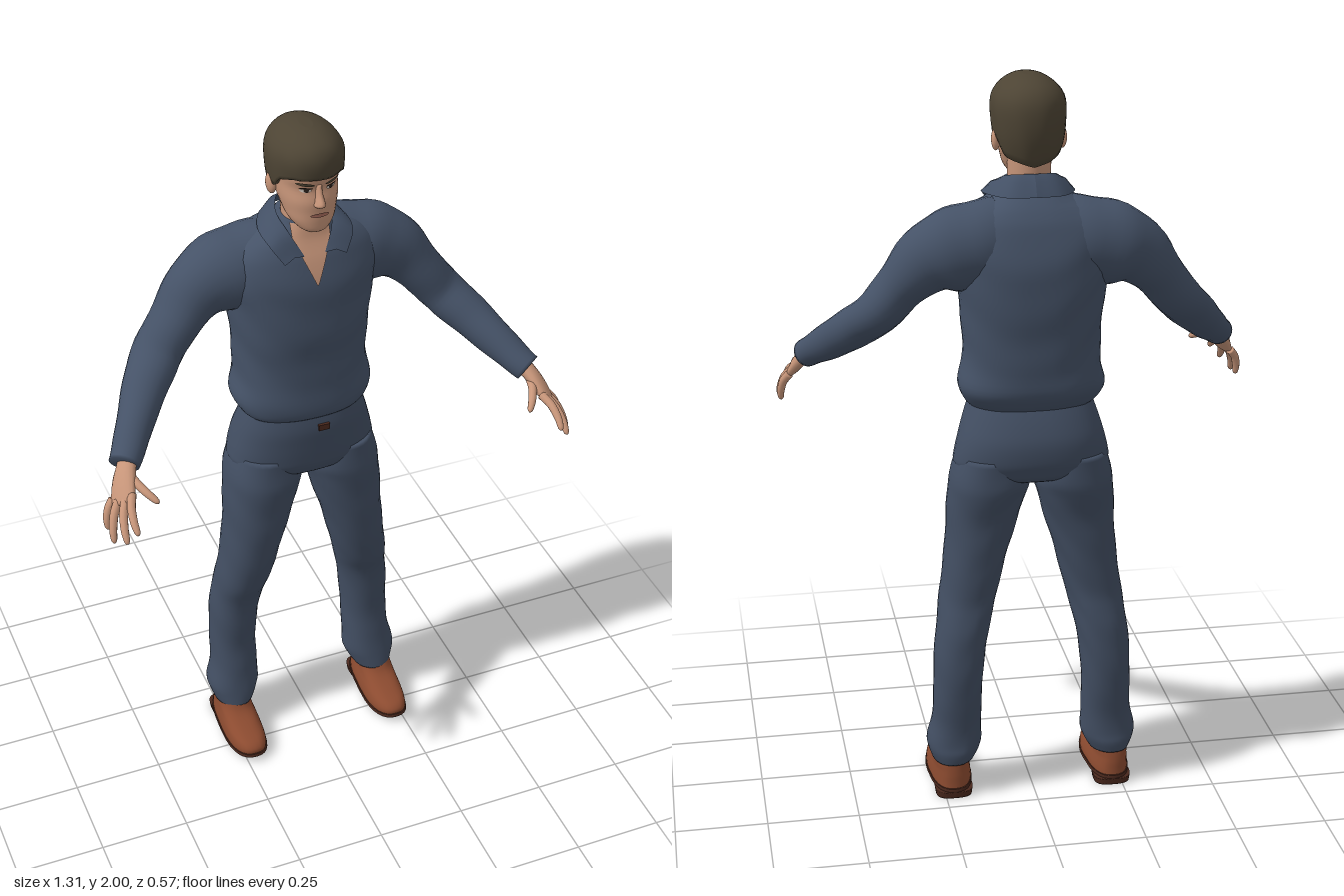
import * as THREE from 'three';

const paint = (name, color, side = THREE.FrontSide) => {
  const m = new THREE.MeshStandardMaterial({ color, side });
  m.name = name;
  return m;
};

// Smooth (Catmull-Rom) subdivision of rows of numbers
function refine(rows, n = 4) {
  const out = [];
  const at = i => rows[Math.min(Math.max(i, 0), rows.length - 1)];
  for (let i = 0; i < rows.length - 1; i++) {
    for (let k = 0; k < n; k++) {
      const t = k / n;
      out.push(rows[i].map((_, j) => {
        const a = at(i - 1)[j], b = at(i)[j], c = at(i + 1)[j], d = at(i + 2)[j];
        return b + 0.5 * t * (c - a + t * (2 * a - 5 * b + 4 * c - d + t * (3 * (b - c) + d - a)));
      }));
    }
  }
  out.push(rows[rows.length - 1]);
  return out;
}

// Skin between rings of points; closed rings get end caps
function loft(rings, closed = true) {
  const n = rings[0].length, pos = [], idx = [];
  rings.forEach(r => r.forEach(p => pos.push(p.x, p.y, p.z)));
  for (let i = 0; i < rings.length - 1; i++) {
    for (let j = 0; j < (closed ? n : n - 1); j++) {
      const k = (j + 1) % n, a = i * n, b = a + n;
      idx.push(a + j, a + k, b + k, a + j, b + k, b + j);
    }
  }
  if (closed) [0, rings.length - 1].forEach((i, top) => {
    const c = new THREE.Vector3();
    rings[i].forEach(p => c.addScaledVector(p, 1 / n));
    const ci = pos.length / 3;
    pos.push(c.x, c.y, c.z);
    for (let j = 0; j < n; j++) {
      const a = i * n + j, b = i * n + (j + 1) % n;
      if (top) idx.push(ci, a, b); else idx.push(ci, b, a);
    }
  });
  const g = new THREE.BufferGeometry();
  g.setAttribute('position', new THREE.Float32BufferAttribute(pos, 3));
  g.setIndex(idx);
  g.computeVertexNormals();
  return g;
}

const sym = rows => rows.map(([y, zf, zb, rx]) => [y, -rx, rx, zf, zb]);
const pw = (v, p) => Math.sign(v) * Math.abs(v) ** (2 / p);

// Point at angle a (0 = front) on a level row [y, xMin, xMax, zFront, zBack]
function rowPoint([y, x0, x1, zf, zb], a, p = 2, k = 1) {
  return new THREE.Vector3((x0 + x1) / 2 + k * (x1 - x0) / 2 * pw(Math.sin(a), p), y,
    (zf + zb) / 2 + k * (zf - zb) / 2 * pw(Math.cos(a), p));
}

// Upright form from level rows, bottom to top, with optional soft cloth folds
function tower(rows, { p = 2, fold = 0, n = 32 } = {}) {
  return loft(refine(rows).map(r => Array.from({ length: n }, (_, j) => {
    const a = j / n * Math.PI * 2;
    return rowPoint(r, a, p, 1 + fold * Math.sin(r[0] * 48 + 2 * Math.sin(a) + 3 * Math.cos(2 * a)));
  })));
}

// Limb along centres [x, y, z, halfWidth, halfHeight]; ref points along the height
function limb(rows, ref, n = 20, fold = 0) {
  const fine = refine(rows), c = fine.map(r => new THREE.Vector3(r[0], r[1], r[2]));
  return loft(fine.map((r, i) => {
    const T = c[Math.min(i + 1, c.length - 1)].clone().sub(c[Math.max(i - 1, 0)]).normalize();
    const v = ref.clone().addScaledVector(T, -ref.dot(T)).normalize();
    const u = T.clone().cross(v);
    return Array.from({ length: n }, (_, j) => {
      const a = j / n * Math.PI * 2, k = 1 + fold * Math.sin(i * 1.1 + 2 * Math.sin(a));
      return c[i].clone().addScaledVector(u, k * r[3] * Math.sin(a)).addScaledVector(v, k * r[4] * Math.cos(a));
    });
  }));
}

function mirrored(geo) {
  const g = geo.clone().scale(-1, 1, 1), ix = g.index.array;
  for (let i = 0; i < ix.length; i += 3) [ix[i], ix[i + 1]] = [ix[i + 1], ix[i]];
  return g;
}

function sample(fine, y) {
  let i = 0;
  while (i < fine.length - 2 && fine[i + 1][0] < y) i++;
  const t = THREE.MathUtils.clamp((y - fine[i][0]) / (fine[i + 1][0] - fine[i][0]), 0, 1);
  return fine[i].map((v, j) => v + (fine[i + 1][j] - v) * t);
}
function frontZ(fine, x, y, p) {
  const [, x0, x1, zf, zb] = sample(fine, y);
  const q = Math.min(1, Math.abs(x - (x0 + x1) / 2) / ((x1 - x0) / 2));
  return (zf + zb) / 2 + (zf - zb) / 2 * (1 - q ** p) ** (1 / p);
}

export function createModel() {
  const model = new THREE.Group();
  model.name = 'standingMan';
  const shirtMat = paint('shirt navy', 0x455267), trouserMat = paint('trouser navy', 0x424e62);
  const collarMat = paint('collar navy', 0x435065, THREE.DoubleSide);
  const skin = paint('skin', 0xc8967a), hairMat = paint('dark brown hair', 0x4d4434);
  const leather = paint('brown leather', 0x8c4b30), soleMat = paint('dark sole', 0x4a281d);
  const white = paint('eye white', 0xcfc4ba), dark = paint('dark eye', 0x2c211b), lip = paint('lips', 0xa3695a);
  const add = (name, geo, mat) => {
    const m = new THREE.Mesh(geo, mat);
    m.name = name;
    model.add(m);
  };
  const pair = (name, geo, mat) => {
    add('left' + name, geo, mat);
    add('right' + name, mirrored(geo), mat);
  };

  // Shirt body, bloused over the waist
  const torso = sym([[1.13, -.005, -.21, .16], [1.15, .012, -.232, .18], [1.19, .016, -.258, .195], [1.25, .012, -.262, .184],
    [1.32, .012, -.266, .182], [1.4, .02, -.274, .188], [1.5, .018, -.278, .2], [1.57, .012, -.268, .212], [1.63, -.005, -.25, .2],
    [1.665, -.02, -.23, .165], [1.69, -.03, -.21, .115], [1.715, -.035, -.185, .08], [1.735, -.04, -.165, .066]]);
  add('shirtBody', tower(torso, { p: 2.4, fold: .008, n: 48 }), shirtMat);

  // Sleeves
  const up = new THREE.Vector3(0, 1, 0);
  pair('Sleeve', limb([[.08, 1.585, -.138, .1, .112], [.15, 1.575, -.146, .105, .112], [.22, 1.56, -.147, .1, .108],
    [.28, 1.533, -.14, .085, .088], [.34, 1.47, -.125, .075, .067], [.4, 1.395, -.105, .07, .06], [.45, 1.345, -.055, .063, .056],
    [.5, 1.295, .01, .052, .052], [.545, 1.25, .075, .045, .043], [.574, 1.223, .113, .041, .038]], up, 24, .015), shirtMat);

  // Bare neck opening and turned-down collar
  const fineTorso = refine(torso), opening = [];
  for (let i = 0; i <= 14; i++) {
    const y = 1.57 + i * .0115, w = Math.min(.052, .002 + (y - 1.57) * .42);
    opening.push(Array.from({ length: 9 }, (_, j) => {
      const x = w * (j / 4 - 1);
      return new THREE.Vector3(x, y, frontZ(fineTorso, x, y, 2.4) + .005);
    }));
  }
  add('neckOpening', loft(opening, false), skin);
  const edge = pts => new THREE.CatmullRomCurve3(pts.map(p => new THREE.Vector3(...p))).getPoints(20);
  const collarTop = edge([[.028, 1.65, -.006], [.06, 1.712, -.04], [.07, 1.74, -.1], [.045, 1.755, -.155], [0, 1.758, -.17]]);
  const collarLow = edge([[.085, 1.64, .002], [.115, 1.685, -.03], [.118, 1.698, -.11], [.075, 1.703, -.19], [0, 1.705, -.21]]);
  const collarMid = collarTop.map((p, i) => p.clone().lerp(collarLow[i], .5).add(new THREE.Vector3(0, .01, 0)));
  pair('Collar', loft([collarTop, collarMid, collarLow], false), collarMat);

  // Trousers: seat, legs and front fastening
  add('trouserSeat', tower(sym([[.915, -.08, -.16, .04], [.94, -.02, -.225, .17], [.97, -.003, -.243, .207], [1, .002, -.252, .207],
    [1.05, .006, -.252, .195], [1.1, .008, -.235, .18], [1.15, 0, -.21, .163]]), { p: 2.3, n: 40 }), trouserMat);
  pair('TrouserLeg', tower([[.1, .165, .28, -.045, -.2], [.13, .15, .29, -.05, -.206], [.16, .142, .293, -.055, -.203],
    [.22, .143, .28, -.066, -.203], [.3, .142, .275, -.075, -.215], [.4, .135, .273, -.07, -.22], [.48, .122, .266, -.063, -.216],
    [.54, .108, .258, -.042, -.208], [.6, .092, .25, -.03, -.2], [.7, .068, .237, -.016, -.205], [.8, .038, .23, -.01, -.21],
    [.88, .016, .226, -.005, -.228], [.93, .004, .22, -.003, -.238], [1, .02, .2, -.012, -.235]], { p: 2.2, fold: .012 }), trouserMat);
  const clasp = new THREE.BoxGeometry(.032, .018, .008);
  clasp.translate(.02, 1.107, .01);
  add('waistClasp', clasp, soleMat);

  // Shoes, with a raised arch and toe
  const spring = geo => {
    const p = geo.attributes.position;
    for (let i = 0; i < p.count; i++) p.setY(i, p.getY(i) + .012 * Math.min(1, ((p.getZ(i) - .005) / .09) ** 2));
    geo.computeVertexNormals();
    return geo;
  };
  pair('ShoeUpper', spring(tower([[.016, .168, .282, .09, -.202], [.032, .168, .282, .089, -.201], [.05, .172, .28, .07, -.2],
    [.066, .177, .277, .025, -.198], [.085, .18, .275, -.03, -.195], [.115, .185, .27, -.055, -.19]], { p: 2.5 })), leather);
  pair('ShoeSole', spring(tower([[0, .172, .278, .086, -.202], [.008, .165, .285, .095, -.206], [.018, .166, .284, .093, -.205]],
    { p: 2.5 })), soleMat);
  pair('ShoeHeel', tower([[0, .175, .275, -.115, -.203], [.02, .172, .278, -.11, -.205]], { p: 3 }), soleMat);

  // Hands
  const palmNormal = new THREE.Vector3(-.72, -.64, -.23);
  pair('Palm', limb([[.555, 1.24, .095, .028, .022], [.57, 1.222, .12, .029, .021], [.587, 1.195, .148, .036, .019],
    [.602, 1.163, .18, .038, .014], [.608, 1.153, .19, .03, .008]], palmNormal, 16), skin);
  const fingers = {
    IndexFinger: [[.58, 1.182, .19], [.596, 1.125, .286]], MiddleFinger: [[.595, 1.17, .184], [.622, 1.094, .272]],
    RingFinger: [[.61, 1.16, .17], [.644, 1.07, .226]], LittleFinger: [[.62, 1.152, .152], [.643, 1.075, .172]],
    Thumb: [[.568, 1.205, .14], [.523, 1.172, .236]],
  };
  for (const [name, [a, b]] of Object.entries(fingers)) {
    pair(name, limb([[0, .012], [.35, .0115], [.7, .0105], [.93, .008], [1, .003]].map(([t, r]) => {
      const bend = .012 * Math.sin(Math.PI * t);
      return [a[0] + (b[0] - a[0]) * t + bend * .7, a[1] + (b[1] - a[1]) * t + bend * .6, a[2] + (b[2] - a[2]) * t, r, r];
    }), palmNormal, 10), skin);
  }

  // Neck and head
  add('neck', tower(sym([[1.62, -.05, -.13, .05], [1.68, -.03, -.15, .055], [1.73, -.028, -.155, .056], [1.82, -.03, -.16, .058]])), skin);
  const head = sym([[1.722, 0, -.05, .018], [1.735, .02, -.08, .04], [1.76, .025, -.11, .06], [1.79, .026, -.14, .07],
    [1.82, .027, -.165, .077], [1.855, .02, -.18, .08], [1.885, .03, -.188, .081], [1.92, .028, -.19, .08],
    [1.96, 0, -.17, .065], [1.985, -.03, -.12, .03]]);
  add('head', tower(head, { p: 2.2 }), skin);
  add('nose', tower([[1.805, -.008, .008, .028, 0], [1.814, -.016, .016, .044, 0], [1.824, -.013, .013, .051, 0],
    [1.845, -.009, .009, .038, 0], [1.872, -.008, .008, .028, 0]], { n: 16 }), skin);
  const ear = new THREE.SphereGeometry(1, 16, 12);
  ear.scale(.012, .03, .019).rotateY(-.25).translate(.086, 1.835, -.09);
  pair('Ear', ear, skin);

  // Face details laid on the head surface
  const fineHead = refine(head);
  const patch = (cx, cy, w, h, lift, slope = 0) => {
    const g = new THREE.CircleGeometry(1, 20), p = g.attributes.position;
    for (let i = 0; i < p.count; i++) {
      const x = cx + w * p.getX(i), y = cy + h * p.getY(i) + slope * (x - cx);
      p.setXYZ(i, x, y, frontZ(fineHead, x, y, 2.2) + lift);
    }
    g.computeVertexNormals();
    return g;
  };
  pair('EyeWhite', patch(.034, 1.857, .014, .006, .003), white);
  pair('Iris', patch(.033, 1.858, .006, .006, .005), dark);
  pair('UpperLid', patch(.034, 1.864, .016, .003, .005), dark);
  pair('Eyebrow', patch(.036, 1.876, .022, .005, .004, .08), hairMat);
  add('mouth', patch(0, 1.786, .025, .006, .004), lip);

  // Hair with a hairline that drops behind the ears
  const hairRows = refine(sym([[1.77, 0, -.172, .068], [1.8, .02, -.185, .08], [1.84, .03, -.197, .09], [1.88, .038, -.203, .095],
    [1.92, .045, -.203, .097], [1.95, .043, -.195, .09], [1.975, .028, -.175, .07], [1.993, -.005, -.14, .042], [2, -.04, -.1, .015]]));
  const hairline = [[0, 1.893], [.7, 1.893], [1.15, 1.878], [1.4, 1.84], [1.75, 1.85], [2.05, 1.8], [Math.PI, 1.775]];
  const hairRings = [];
  for (let i = -1; i <= 18; i++) {
    const t = Math.sin(Math.max(i, 0) / 18 * Math.PI / 2);
    hairRings.push(Array.from({ length: 56 }, (_, j) => {
      const a = j / 56 * Math.PI * 2, low = sample(hairline, 0) && lineAt(hairline, Math.min(a, Math.PI * 2 - a));
      const wave = 1 + .012 * Math.sin(a * 9 + t * 5) * (1 - t);
      return rowPoint(sample(hairRows, low + (2 - low) * t), a, 2.15, i < 0 ? .84 : wave);
    }));
  }
  add('hair', loft(hairRings), hairMat);

  return model;
}

// Height of a broken line at a given angle
function lineAt(line, a) {
  return sample(line, a)[1];
}
